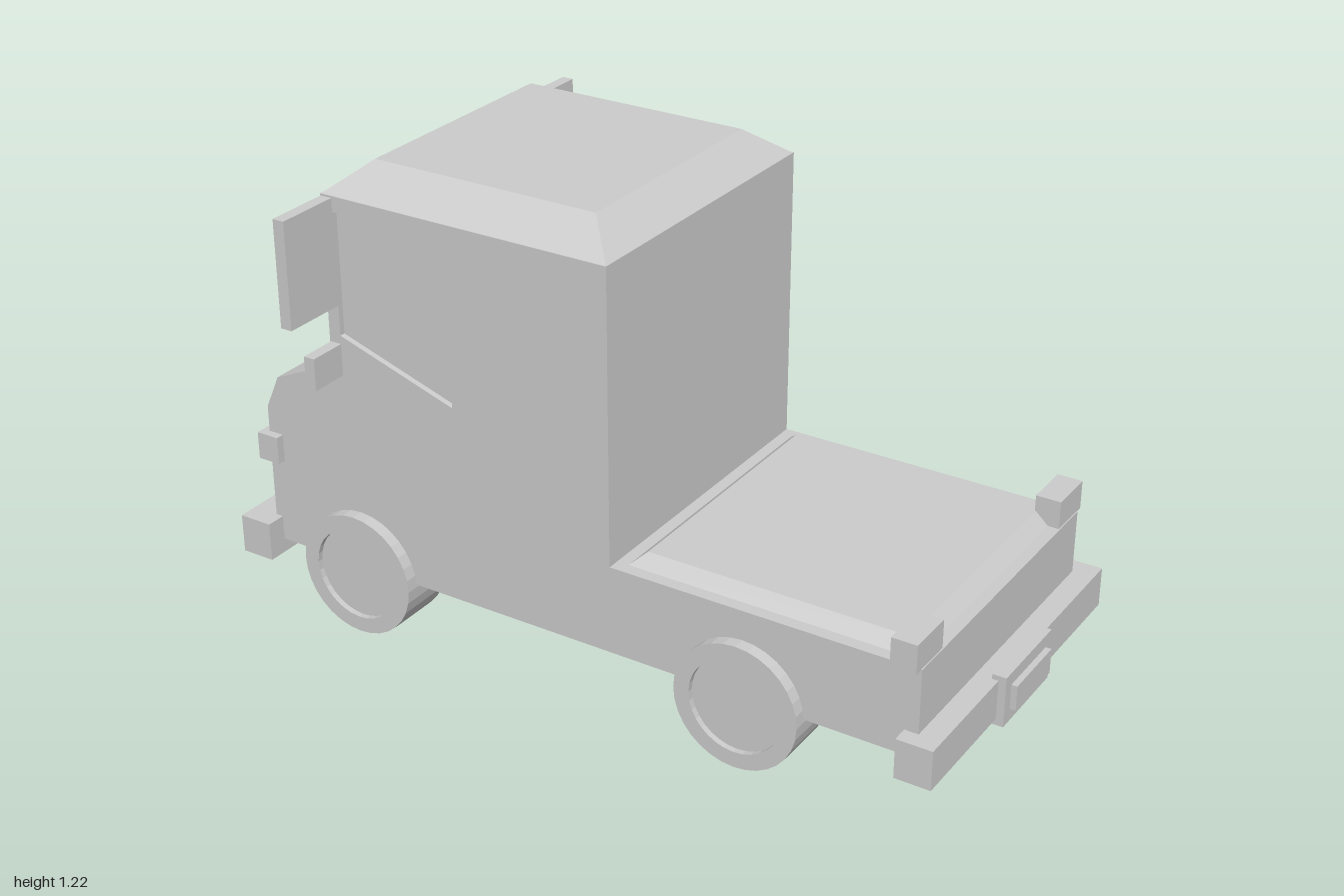
import * as THREE from 'three';

const mat = new THREE.MeshStandardMaterial({ color: 0xcccccc, flatShading: true });

function add(parent, name, geometry) {
  const mesh = new THREE.Mesh(geometry, mat);
  mesh.name = name;
  parent.add(mesh);
  return mesh;
}

// box given by its limits on each axis
function box(parent, name, x0, x1, y0, y1, z0, z1) {
  const g = new THREE.BoxGeometry(x1 - x0, y1 - y0, z1 - z0);
  g.translate((x0 + x1) / 2, (y0 + y1) / 2, (z0 + z1) / 2);
  return add(parent, name, g);
}

// box whose top face is drawn in by insets on x and z
function taperedBox(parent, name, x0, x1, y0, y1, z, insetX, insetZ) {
  const mesh = box(parent, name, x0, x1, y0, y1, -z, z);
  const p = mesh.geometry.attributes.position;
  const mid = (x0 + x1) / 2;
  for (let i = 0; i < p.count; i++) {
    if (p.getY(i) < (y0 + y1) / 2) continue;
    p.setX(i, p.getX(i) - Math.sign(p.getX(i) - mid) * insetX);
    p.setZ(i, p.getZ(i) - Math.sign(p.getZ(i)) * insetZ);
  }
  mesh.geometry.computeVertexNormals();
  return mesh;
}

const vectors = (points) => points.map(([x, y]) => new THREE.Vector2(x, y));
const rect = (a0, a1, b0, b1) => [[a0, b0], [a1, b0], [a1, b1], [a0, b1]];

function panel(outline, holes, depth) {
  const shape = new THREE.Shape(vectors(outline));
  holes.forEach((h) => shape.holes.push(new THREE.Path(vectors(h))));
  return new THREE.ExtrudeGeometry(shape, { depth, bevelEnabled: false });
}

// side outline of the truck, with the cab front at a given x
const bodyOutline = (cabFront) => [
  [-0.9, 0.17], [0.91, 0.17], [0.91, 0.4], [0.11, 0.4], [0.11, 1.15],
  [cabFront, 1.15], [cabFront, 0.67], [-0.77, 0.67], [-0.86, 0.63], [-0.9, 0.54],
];

export function createModel() {
  const truck = new THREE.Group();
  truck.name = 'truck';

  // body: solid core, side skins and front frame with recessed windows
  const half = 0.408, skin = 0.015, inner = half - skin;
  const body = new THREE.Group();
  body.name = 'body';
  truck.add(body);
  add(body, 'bodyCore', panel(bodyOutline(-0.665), [], inner * 2)).position.z = -inner;
  const sideWindow = [[-0.65, 1.11], [-0.325, 1.11], [-0.325, 0.69], [-0.65, 0.795]];
  const sideSkin = panel(bodyOutline(-0.683), [sideWindow], skin);
  add(body, 'leftSide', sideSkin).position.z = inner;
  add(body, 'rightSide', sideSkin).position.z = -half;
  const frame = panel(rect(-inner, inner, 0.67, 1.15), [rect(-0.36, 0.36, 0.715, 1.11)], 0.018);
  frame.rotateY(-Math.PI / 2);
  add(body, 'windscreenFrame', frame).position.x = -0.665;

  // roof and bed cover
  taperedBox(truck, 'roof', -0.683, 0.11, 1.148, 1.222, half, 0.09, 0.097);
  taperedBox(truck, 'bedCover', 0.14, 0.88, 0.399, 0.43, 0.377, 0.034, 0.033);

  // wheels with recessed hubs
  const wheelGeometry = new THREE.LatheGeometry(vectors([
    [0, 0], [0.162, 0], [0.162, 0.147], [0.121, 0.147], [0.121, 0.132], [0, 0.132],
  ]), 32);
  for (const [x, axle] of [[-0.622, 'front'], [0.465, 'rear']]) {
    for (const side of [1, -1]) {
      const wheel = add(truck, axle + (side > 0 ? 'Left' : 'Right') + 'Wheel', wheelGeometry);
      wheel.rotation.x = side * Math.PI / 2;
      wheel.position.set(x, 0.162, side * 0.297 - 0.004);
    }
  }

  // bumpers with number plates
  box(truck, 'frontBumper', -0.97, -0.88, 0.133, 0.235, -0.452, 0.46);
  box(truck, 'frontPlateHolder', -0.988, -0.955, 0.117, 0.248, -0.12, 0.122);
  box(truck, 'frontPlate', -1, -0.98, 0.15, 0.215, -0.092, 0.093);
  box(truck, 'rearBumper', 0.875, 0.966, 0.133, 0.235, -0.458, 0.45);
  box(truck, 'rearPlateHolder', 0.95, 0.985, 0.117, 0.248, -0.118, 0.125);
  box(truck, 'rearPlate', 0.975, 1, 0.15, 0.215, -0.09, 0.095);

  // grille with four upright slots
  const slots = [];
  for (let i = 0; i < 4; i++) {
    const z = (i - 1.5) * 0.095;
    slots.push(rect(z - 0.027, z + 0.027, 0.35, 0.505));
  }
  const grille = panel(rect(-0.217, 0.212, 0.317, 0.54), slots, 0.025);
  grille.rotateY(-Math.PI / 2);
  add(truck, 'grille', grille).position.x = -0.932;
  box(truck, 'grilleBack', -0.932, -0.895, 0.317, 0.54, -0.217, 0.212);

  // parts on both sides: lamps, mirrors and door brackets
  const pair = (name, x0, x1, y0, y1, near, far) => {
    box(truck, name + 'Left', x0, x1, y0, y1, near, far);
    box(truck, name + 'Right', x0, x1, y0, y1, -far, -near);
  };
  pair('frontLamp', -0.92, -0.858, 0.4, 0.472, 0.31, 0.43);
  pair('rearLamp', 0.843, 0.907, 0.398, 0.472, 0.306, 0.43);
  pair('mirror', -0.681, -0.65, 0.873, 1.145, 0.4, 0.577);
  pair('lowerMirror', -0.68, -0.65, 0.69, 0.773, 0.4, 0.508);

  return truck;
}
